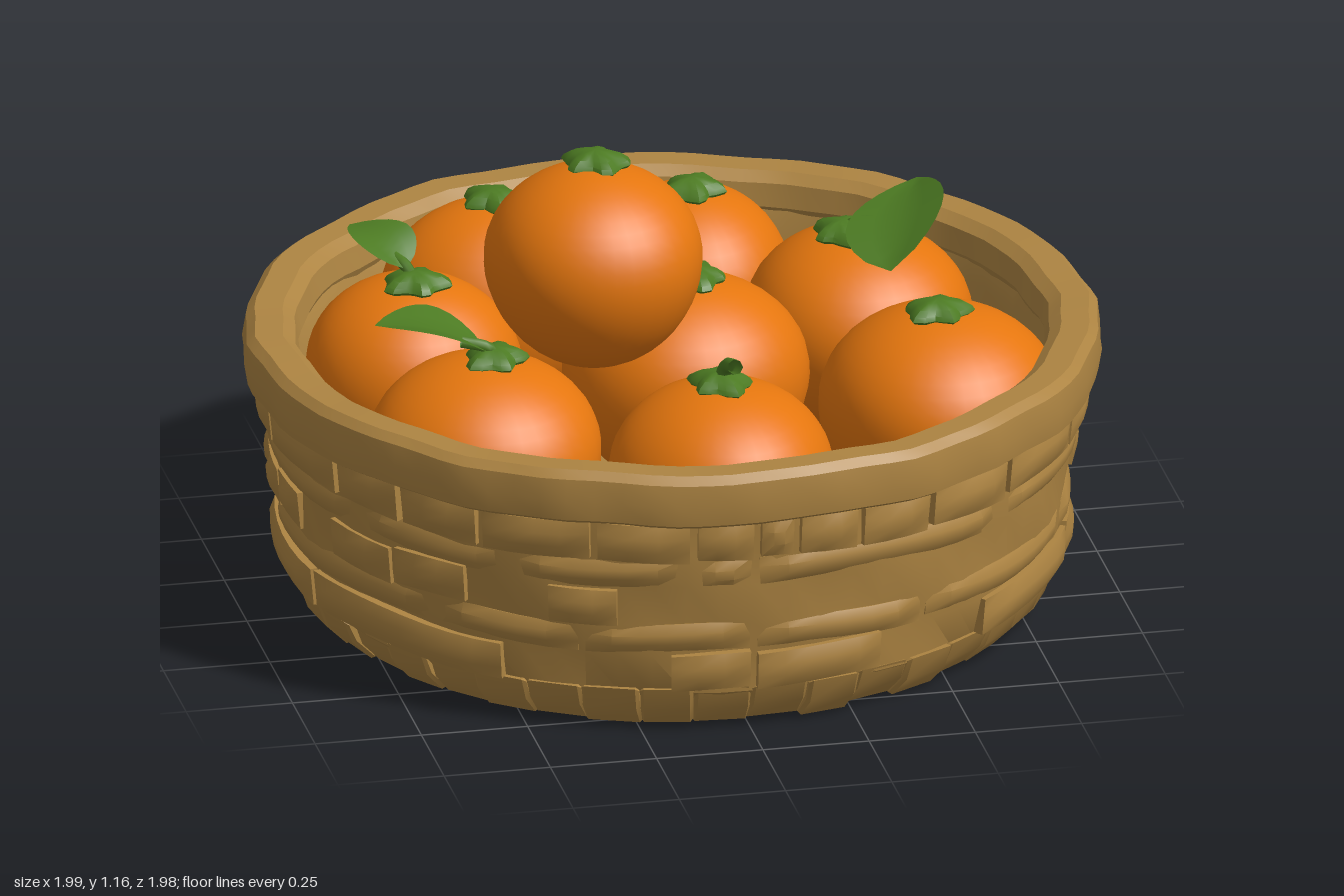
import * as THREE from 'three';
import { toCreasedNormals } from 'three/addons/utils/BufferGeometryUtils.js';

const flat = (name, color, side = THREE.FrontSide) => {
  const m = new THREE.MeshStandardMaterial({ color, side });
  m.name = name;
  return m;
};
const wicker = flat('wicker', 0xad8442);
const orange = flat('orangePeel', 0xe5760e);
const green = flat('leafGreen', 0x4c7a22, THREE.DoubleSide);

// Small seeded generator for the irregular weave
let seed = 7;
const rnd = () => ((seed = (seed * 16807) % 2147483647) / 2147483647);

// Moves every vertex by a rule, then rebuilds normals keeping sharp edges
function shape(geo, rule, crease = 0.6) {
  const p = geo.attributes.position, v = new THREE.Vector3();
  for (let i = 0; i < p.count; i++) {
    rule(v.fromBufferAttribute(p, i));
    p.setXYZ(i, v.x, v.y, v.z);
  }
  geo.computeVertexNormals();
  return toCreasedNormals(geo, crease);
}

function add(parent, name, geo, mat) {
  const m = new THREE.Mesh(geo, mat);
  m.name = name;
  parent.add(m);
  return m;
}

const lathe = (pts, n) => new THREE.LatheGeometry(pts.map(([x, y]) => new THREE.Vector2(x, y)), n);
const wallR = (y) => 0.88 + 0.1 * y;

// Chamfered strip bent round the basket
function strip(angle, span, y, h, lift) {
  const n = Math.max(3, Math.ceil(span / 0.08)), ph = rnd() * 6;
  const g = new THREE.BoxGeometry(2, 2, 1, n, 3, 1);
  return shape(g, (v) => {
    const edge = Math.abs(v.x) > 0.99 || Math.abs(v.y) > 0.99;
    const yy = y + (v.y * h) / 2 + 0.006 * Math.sin(v.x * span * 4 + ph);
    const r = wallR(yy) + (v.z > 0 ? lift - (edge ? 0.014 : 0) : -0.03);
    const a = angle + (v.x * span) / 2;
    v.set(Math.sin(a) * r, yy, Math.cos(a) * r);
  });
}

function makeBasket() {
  const basket = new THREE.Group();
  basket.name = 'basket';

  // Hollow bowl with a recessed underside
  const bowl = lathe([[0, 0.035], [0.74, 0.035], [0.82, 0.04], [0.88, 0.1], [0.897, 0.2], [0.908, 0.28],
    [0.918, 0.38], [0.928, 0.47], [0.935, 0.58], [0.88, 0.62], [0.85, 0.55], [0.83, 0.42],
    [0.8, 0.28], [0.76, 0.17], [0, 0.15]], 72);
  add(basket, 'bowl', shape(bowl, (v) => {
    const a = Math.atan2(v.x, v.z), k = 1 + 0.005 * Math.sin(a * 13 + v.y * 25);
    v.x *= k; v.z *= k;
  }), wicker);

  // Woven rows: height, strip height, lift, shortest and longest span, share left empty
  const rows = [
    [0.5, 0.095, 0.032, 0.1, 0.42, 0.08],
    [0.415, 0.07, 0.012, 0.4, 0.9, 0.1],
    [0.33, 0.09, 0.026, 0.14, 0.25, 0.55],
    [0.245, 0.07, 0.012, 0.4, 0.9, 0.1],
    [0.16, 0.09, 0.028, 0.3, 0.7, 0.04],
  ];
  for (const [y, h, lift, lo, hi, empty] of rows) {
    for (let a = 0; a < Math.PI * 2 - 0.05;) {
      const span = Math.min(lo + rnd() * (hi - lo), Math.PI * 2 - a);
      if (rnd() > empty) add(basket, 'weaveStrip', strip(a + span / 2, span - 0.02, y, h, lift), wicker);
      a += span;
    }
  }

  // Curled wraps round the foot
  const count = 42, step = (Math.PI * 2) / count;
  const curl = [[0.72, 0.035], [0.75, 0.008], [0.82, 0], [0.87, 0.05], [0.892, 0.112], [0.85, 0.112]];
  for (let i = 0; i < count; i++) {
    const s = new THREE.Shape(curl.map(([x, y]) => new THREE.Vector2(x, y)));
    const w = 0.105 + rnd() * 0.02, k = 0.985 + rnd() * 0.02, dy = rnd() * 0.012;
    const g = new THREE.ExtrudeGeometry(s, { depth: w, bevelEnabled: true, bevelSize: 0.008,
      bevelThickness: 0.008, bevelOffset: -0.008, bevelSegments: 1 });
    g.translate(0, 0, -w / 2);
    const foot = add(basket, 'footWrap', shape(g, (v) => { v.x *= k; v.y += dy * (v.y < 0.06 ? 1 : 0); }), wicker);
    foot.rotation.y = i * step;
  }

  // Thick wrapped rim with an uneven surface
  const rim = lathe([[0.88, 0.56], [0.965, 0.548], [0.985, 0.56], [0.992, 0.61], [0.985, 0.66], [0.965, 0.678],
    [0.9, 0.676], [0.872, 0.655], [0.862, 0.6], [0.88, 0.56]], 96);
  add(basket, 'rim', shape(rim, (v) => {
    const a = Math.atan2(v.x, v.z);
    const k = 1 + 0.005 * Math.sin(a * 17 + 1) * Math.sin(a * 5) - 0.005 * Math.abs(Math.sin(a * 14 + v.y * 6));
    v.x *= k; v.z *= k;
    v.y += 0.003 * Math.sin(a * 11);
  }, 0.5), wicker);
  return basket;
}

// Lobed cap on top of a fruit
function makeCap(r, turn) {
  const g = new THREE.SphereGeometry(1, 20, 8);
  return shape(g, (v) => {
    const a = Math.atan2(v.z, v.x) + turn;
    const k = r * (1 + 0.16 * Math.sin(a * 5) + 0.1 * Math.sin(a * 2));
    v.set(v.x * k, v.y * 0.022 - 0.2 * r * (v.x * v.x + v.z * v.z), v.z * k);
  });
}

// Pointed, folded leaf between two points, spread along a side direction
function makeLeaf(base, tip, side, half) {
  const A = new THREE.Vector3(...base), B = new THREE.Vector3(...tip);
  const S = new THREE.Vector3(...side).normalize();
  const N = S.clone().cross(B.clone().sub(A)).normalize();
  if (N.y < 0) N.negate();
  return shape(new THREE.PlaneGeometry(1, 2, 10, 4), (v) => {
    const t = v.x + 0.5, s = v.y;
    const w = half * Math.pow(Math.sin(Math.PI * Math.pow(t, 0.85)), 0.8) || 0;
    v.copy(A).lerp(B, t).addScaledVector(S, s * w)
      .addScaledVector(N, 0.025 * Math.sin(Math.PI * t) + 0.2 * w * Math.abs(s));
  }, 0.8);
}

const makeStem = (pts, r) => new THREE.TubeGeometry(
  new THREE.CatmullRomCurve3(pts.map((p) => new THREE.Vector3(...p))), 8, r, 7);

export function createModel() {
  const model = new THREE.Group();
  model.name = 'fruitBasket';
  model.add(makeBasket());

  // Fruit: x, y, z, half width, half height, half depth, cap x, cap z
  const fruits = [
    [-0.29, 0.5, -0.59, 0.27, 0.25, 0.24, -0.29, -0.6],
    [0.16, 0.5, -0.58, 0.24, 0.25, 0.25, 0.17, -0.57],
    [0.5, 0.5, -0.28, 0.27, 0.24, 0.27, 0.46, -0.27],
    [-0.56, 0.49, -0.23, 0.25, 0.24, 0.25, -0.56, -0.2],
    [0.04, 0.51, -0.03, 0.28, 0.25, 0.27, 0.06, -0.03],
    [-0.22, 0.9, 0.17, 0.25, 0.24, 0.255, -0.21, 0.14],
    [-0.51, 0.5, 0.3, 0.27, 0.24, 0.28, -0.48, 0.3],
    [0, 0.49, 0.54, 0.26, 0.24, 0.275, 0, 0.53],
    [0.58, 0.5, 0.25, 0.285, 0.25, 0.285, 0.57, 0.26],
  ];
  fruits.forEach(([x, y, z, rx, ry, rz, cx, cz], i) => {
    const g = shape(new THREE.SphereGeometry(1, 36, 24), (v) => {
      const k = 1 + 0.014 * Math.sin(v.x * 3 + i) + 0.014 * Math.sin(v.z * 4 + v.y * 2 + i * 2);
      const full = 1 + 0.05 * (1 - v.y * v.y) * v.y;
      v.set(v.x * k * rx * full, v.y * ry * (1 - 0.03 * v.y), v.z * k * rz * full);
    }, 1.2);
    add(model, 'fruit', g, orange).position.set(x, y, z);
    const cap = add(model, 'cap', makeCap(0.07, i * 1.3), green);
    cap.position.set(cx, y + ry + 0.003, cz);
  });

  // Leaves and short stems
  add(model, 'leaf', makeLeaf([-0.5, 0.755, 0.31], [-0.76, 0.83, 0.28], [0, 0, 1], 0.1), green);
  add(model, 'leaf', makeLeaf([-0.58, 0.755, -0.21], [-0.68, 0.81, -0.37], [1, 0, -0.6], 0.08), green);
  add(model, 'leaf', makeLeaf([0.53, 0.71, -0.07], [0.65, 0.82, -0.35], [0.9, 0.35, 0.35], 0.12), green);
  add(model, 'stem', makeStem([[-0.47, 0.73, 0.3], [-0.5, 0.765, 0.31], [-0.56, 0.78, 0.3]], 0.014), green);
  add(model, 'stem', makeStem([[-0.56, 0.72, -0.2], [-0.58, 0.76, -0.22], [-0.62, 0.78, -0.28]], 0.014), green);
  add(model, 'stem', makeStem([[0.46, 0.73, -0.28], [0.49, 0.76, -0.26], [0.56, 0.77, -0.22]], 0.015), green);
  add(model, 'stem', makeStem([[0, 0.72, 0.53], [0.01, 0.77, 0.55], [0.01, 0.81, 0.65]], 0.018), green);
  return model;
}
